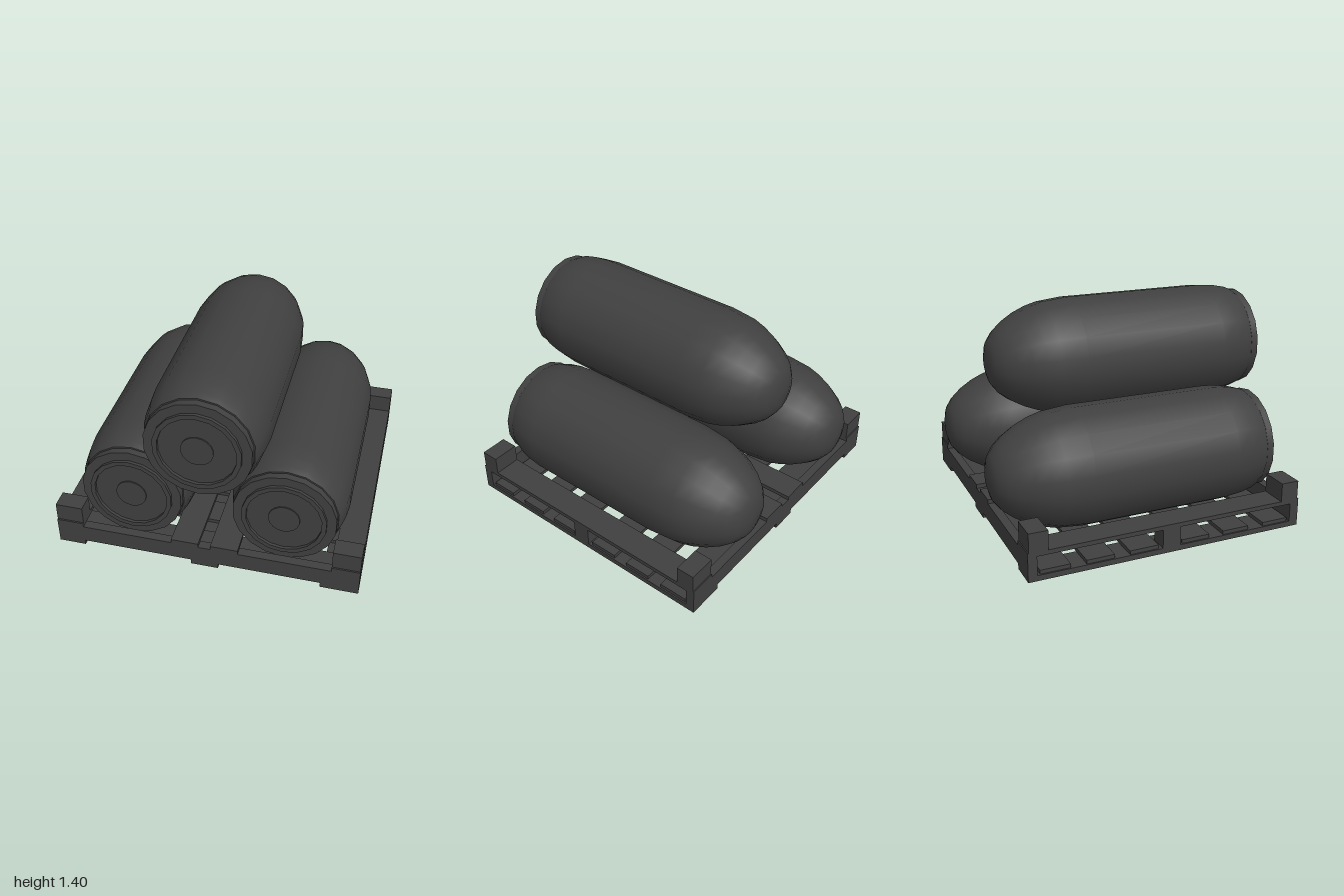
import * as THREE from 'three';
import { mergeGeometries } from 'three/addons/utils/BufferGeometryUtils.js';

const SIDES = 18;
const material = new THREE.MeshStandardMaterial({ color: 0x404040 });

// Lathe around z: profile points are [radius, distance from the base], nose towards -z
function latheZ(points) {
  const g = new THREE.LatheGeometry(points.map(([r, t]) => new THREE.Vector2(r, t)), SIDES);
  return g.rotateX(-Math.PI / 2);
}

// Each profile run is its own lathe so that the steps stay sharp
function steppedLathe(points) {
  return mergeGeometries(points.slice(1).map((p, i) => latheZ([points[i], p])));
}

function createShell(name, x, y, baseZ) {
  const shell = new THREE.Group();
  shell.name = name;
  shell.position.set(x, y, baseZ);

  // Stepped base with a rim, recess and centre disc
  const base = new THREE.Mesh(steppedLathe([
    [0, 0.012], [0.1, 0.012], [0.1, 0.02], [0.24, 0.02], [0.24, 0],
    [0.27, 0], [0.27, 0.02], [0.33, 0.02], [0.33, 0.065], [0.325, 0.07], [0.336, 0.07],
  ]), material);
  base.name = 'shellBase';

  // Smooth body tapering to a blunt rounded nose
  const body = new THREE.Mesh(latheZ([
    [0.336, 0.07], [0.352, 0.11], [0.369, 0.19], [0.38, 0.3], [0.38, 1.28],
    [0.363, 1.45], [0.34, 1.535], [0.305, 1.62], [0.255, 1.705], [0.205, 1.765],
    [0.145, 1.81], [0.08, 1.83], [0, 1.835],
  ]), material);
  body.name = 'shellBody';

  shell.add(base, body);
  return shell;
}

// Box given by its ranges on the three axes
function box(name, [x0, x1], [y0, y1], [z0, z1]) {
  const mesh = new THREE.Mesh(new THREE.BoxGeometry(x1 - x0, y1 - y0, z1 - z0), material);
  mesh.name = name;
  mesh.position.set((x0 + x1) / 2, (y0 + y1) / 2, (z0 + z1) / 2);
  return mesh;
}

function createPallet() {
  const pallet = new THREE.Group();
  pallet.name = 'pallet';
  const front = 0.905, back = -0.925;

  // Bottom rails
  for (const x of [[-1, -0.82], [-0.09, 0.09], [0.755, 1]])
    pallet.add(box('bottomRail', x, [0, 0.035], [back, front]));

  // Cross slats on the rails
  for (const z of [[0.65, 0.83], [0.36, 0.54], [0.07, 0.26], [-0.28, -0.09], [-0.56, -0.38], [-0.85, -0.66]])
    pallet.add(box('crossSlat', [-0.99, 0.99], [0.035, 0.06], z));

  // End beams
  pallet.add(box('frontBeam', [-1, 1], [0.035, 0.157], [0.845, front]));
  pallet.add(box('backBeam', [-1, 1], [0.035, 0.157], [back, -0.868]));

  // Top boards along the pallet
  for (const x of [[-1, -0.82], [-0.22, -0.04], [0.04, 0.22], [0.82, 1]])
    pallet.add(box('topBoard', x, [0.157, 0.185], [back, front]));

  // Middle support blocks
  for (const x of [[-1, -0.88], [-0.09, 0.09], [0.88, 1]])
    pallet.add(box('supportBlock', x, [0.035, 0.157], [-0.065, 0.055]));

  // Corner stops
  for (const x of [[-1, -0.82], [0.82, 1]])
    for (const z of [[0.775, 0.895], [-0.918, -0.798]])
      pallet.add(box('cornerStop', x, [0.185, 0.308], z));

  return pallet;
}

export function createModel() {
  const model = new THREE.Group();
  model.name = 'shellsOnPallet';
  model.add(
    createPallet(),
    createShell('leftShell', 0.495, 0.45, 0.838),
    createShell('rightShell', -0.495, 0.45, 0.838),
    createShell('topShell', 0, 1.025, 1),
  );
  return model;
}
